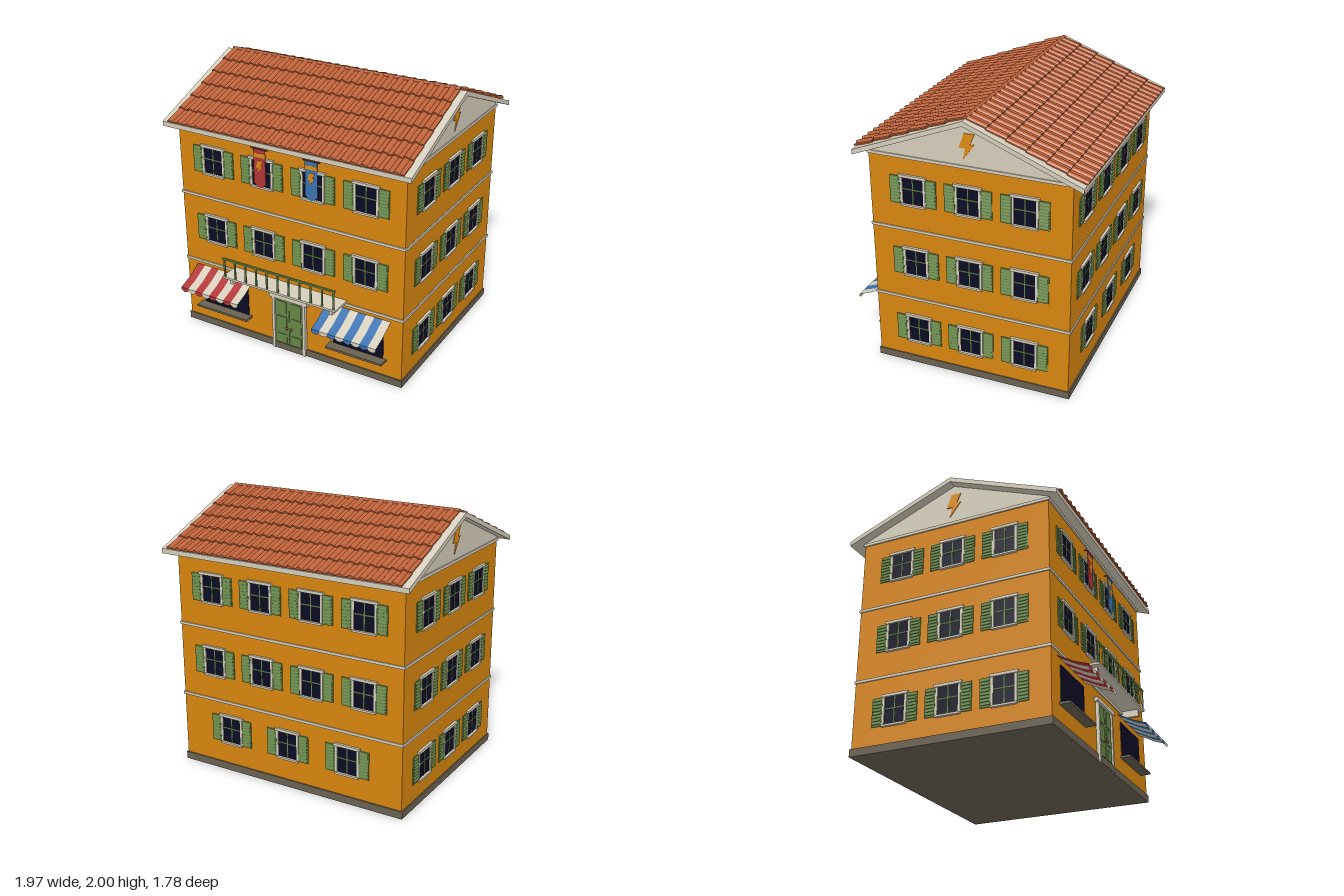
import * as THREE from 'three';

const mat = (name, color, side = THREE.FrontSide) =>
  Object.assign(new THREE.MeshStandardMaterial({ color, side }), { name });

export function createModel() {
  const M = {
    wall: mat('ochre plaster', 0xd8860f),
    cream: mat('cream trim', 0xd6cebc, THREE.DoubleSide),
    stone: mat('dark stone', 0x6a6252),
    tile: mat('terracotta', 0xbf6239),
    green: mat('green paint', 0x668647),
    glass: mat('dark glass', 0x0c0c24),
    red: mat('red cloth', 0xb03638, THREE.DoubleSide),
    blue: mat('blue cloth', 0x3a72b0, THREE.DoubleSide),
    gold: mat('golden orange', 0xdd8c14),
    wood: mat('brown wood', 0x7d3a20),
  };
  const model = new THREE.Group();
  model.name = 'townHouse';

  const add = (parent, name, geo, material, x = 0, y = 0, z = 0) => {
    const m = new THREE.Mesh(geo, material);
    m.name = name;
    m.position.set(x, y, z);
    parent.add(m);
    return m;
  };
  const box = (parent, name, material, w, h, d, x, y, z) =>
    add(parent, name, new THREE.BoxGeometry(w, h, d), material, x, y, z);
  const group = (parent, name) => {
    const g = new THREE.Group();
    g.name = name;
    parent.add(g);
    return g;
  };
  const poly = (pts) => new THREE.Shape(pts.map(([x, y]) => new THREE.Vector2(x, y)));
  const extrude = (pts, depth) => new THREE.ExtrudeGeometry(poly(pts), { depth, bevelEnabled: false });

  // The house is symmetric about z = -0.06; the awnings and balcony extend forward
  const house = group(model, 'house');
  house.position.z = -0.06;
  const HX = 0.915, HZ = 0.73;
  box(house, 'walls', M.wall, 2 * HX, 1.62, 2 * HZ, 0, 0.815, 0);
  box(house, 'plinth', M.stone, 1.846, 0.055, 1.48, 0, 0.0275, 0);
  for (const y of [0.54, 1.09]) box(house, 'floorBand', M.cream, 1.846, 0.02, 1.476, 0, y, 0);
  box(house, 'cornice', M.cream, 1.85, 0.022, 1.48, 0, 1.635, 0);

  // Gable and roof deck
  const RUN = 0.82, SLOPE = 0.396, ANGLE = Math.atan(SLOPE);
  const alongX = (name, pts, len, material) => {
    const geo = extrude(pts, len).translate(0, 0, -len / 2).rotateY(Math.PI / 2);
    return add(house, name, geo, material);
  };
  alongX('gable', [[-HZ, 1.63], [HZ, 1.63], [HZ, 1.656], [0, 1.946], [-HZ, 1.656]], 1.834, M.cream);
  const eave = 1.98 - RUN * SLOPE;
  alongX('roofDeck', [[-RUN, eave - 0.035], [0, 1.945], [RUN, eave - 0.035],
    [RUN, eave], [0, 1.98], [-RUN, eave]], 1.97, M.cream);

  // Roof tiles: one ribbed strip per course, each course lifted over the next
  const COLS = 24, ROWS = 6, W = 1.87, pitch = W / COLS;
  const ribs = [[-W / 2, -0.004]];
  for (let i = 0; i < COLS; i++) {
    const x = -W / 2 + i * pitch;
    for (const [u, h] of [[0, 0.005], [0.12, 0.015], [0.3, 0.018], [0.48, 0.015], [0.6, 0.005]])
      ribs.push([x + u * pitch, h]);
  }
  ribs.push([W / 2, 0.005], [W / 2, -0.004]);
  const step = RUN / Math.cos(ANGLE) / ROWS;
  const course = extrude(ribs.reverse(), step + 0.004);
  for (const side of [0, Math.PI]) {
    const slope = group(house, 'roofTiles');
    slope.rotation.set(ANGLE, side, 0, 'YXZ');
    slope.position.y = 1.98;
    for (let r = 0; r < ROWS; r++)
      add(slope, 'tileCourse', course, M.tile, 0, 0.001, r * step).rotation.x = -0.075;
  }
  add(house, 'ridgeTile', new THREE.CylinderGeometry(0.014, 0.014, W, 8).rotateZ(Math.PI / 2), M.tile, 0, 1.986, 0);

  // Shuttered window, origin at the bottom centre on the wall plane
  const windowUnit = new THREE.Group();
  windowUnit.name = 'window';
  box(windowUnit, 'glass', M.glass, 0.16, 0.2, 0.004, 0, 0.115, 0.002);
  box(windowUnit, 'muntin', M.green, 0.008, 0.196, 0.004, 0, 0.115, 0.005);
  box(windowUnit, 'muntin', M.green, 0.156, 0.008, 0.004, 0, 0.125, 0.005);
  box(windowUnit, 'lintel', M.cream, 0.205, 0.02, 0.018, 0, 0.221, 0.009);
  box(windowUnit, 'sill', M.cream, 0.185, 0.014, 0.02, 0, 0.007, 0.01);
  for (const s of [-1, 1]) {
    box(windowUnit, 'jamb', M.cream, 0.016, 0.2, 0.01, s * 0.085, 0.113, 0.005);
    box(windowUnit, 'shutter', M.green, 0.078, 0.205, 0.007, s * 0.134, 0.112, 0.0045);
    for (let i = 0; i < 8; i++)
      box(windowUnit, 'slat', M.green, 0.062, 0.014, 0.004, s * 0.134, 0.03 + i * 0.0235, 0.009).rotation.x = -0.4;
  }
  const facade = (name, angle, dist, spots) => {
    const g = group(house, name);
    g.rotation.y = angle;
    for (const [u, y] of spots) {
      const w = windowUnit.clone();
      w.position.set(u, y, dist);
      g.add(w);
    }
    return g;
  };
  const row = (us, y) => us.map((u) => [u, y]);
  const four = [-0.62, -0.207, 0.207, 0.62], three = [-0.405, 0, 0.405];
  const upper = [...row(four, 0.725), ...row(four, 1.275)];
  facade('frontWindows', 0, HZ, upper);
  facade('backWindows', Math.PI, HZ, [...upper, ...row([-0.49, 0, 0.49], 0.212)]);

  // Lightning emblem, centred on its own origin
  const bolt = extrude([[-0.019, 0.093], [-0.056, -0.013], [-0.01, -0.013], [-0.03, -0.093],
    [0.056, 0.02], [0.024, 0.02], [0.056, 0.093]], 0.005);
  for (const s of [-1, 1]) {
    const g = facade('sideWindows', s * Math.PI / 2, HX,
      [0.175, 0.725, 1.275].flatMap((y) => row(three, y)));
    add(g, 'gableBolt', bolt, M.gold, 0, 1.78, 0.917);
  }

  // Hanging banners
  for (const [s, cloth] of [[-1, M.red], [1, M.blue]]) {
    const b = group(model, 'banner');
    b.position.set(s * 0.209, 0, 0.691);
    add(b, 'cloth', extrude([[-0.049, 1.575], [-0.049, 1.32], [-0.025, 1.295], [0, 1.284],
      [0.025, 1.295], [0.049, 1.32], [0.049, 1.575]], 0.004), cloth);
    box(b, 'stripe', M.gold, 0.099, 0.03, 0.006, 0, 1.53, 0.002);
    add(b, 'bolt', bolt, M.gold, 0, 1.445, 0.002).scale.set(0.5, 0.5, 1);
    add(b, 'pole', new THREE.CylinderGeometry(0.005, 0.005, 0.135, 8).rotateZ(Math.PI / 2), M.wood, 0, 1.578, 0.002);
    for (const x of [-0.055, 0.055]) box(b, 'poleBracket', M.wood, 0.006, 0.006, 0.022, x, 1.578, -0.01);
  }

  // Shop windows with striped, scalloped awnings
  const profile = [[0.67, 0.505], [0.79, 0.44], [0.885, 0.405]];
  const sw = 0.51 / 8;
  const strip = new THREE.PlaneGeometry(sw, 1, 1, 2);
  const pos = strip.attributes.position;
  for (let i = 0; i < pos.count; i++) {
    const [z, y] = profile[Math.floor(i / 2)];
    pos.setY(i, y);
    pos.setZ(i, z);
  }
  strip.computeVertexNormals();
  const flap = new THREE.Shape();
  flap.moveTo(-sw / 2, 0);
  flap.lineTo(-sw / 2, -0.018);
  flap.quadraticCurveTo(0, -0.05, sw / 2, -0.018);
  flap.lineTo(sw / 2, 0);
  const flapGeo = new THREE.ShapeGeometry(flap, 6);
  for (const [s, cloth] of [[-1, M.red], [1, M.blue]]) {
    const shop = group(model, 'shopFront');
    shop.position.x = s * 0.567;
    box(shop, 'shopGlass', M.glass, 0.405, 0.27, 0.006, 0, 0.325, 0.672);
    box(shop, 'shopSill', M.stone, 0.455, 0.016, 0.08, 0, 0.183, 0.706);
    for (let i = 0; i < 8; i++) {
      const x = (i - 3.5) * sw, m = i % 2 ? M.cream : cloth;
      add(shop, 'awningStripe', strip, m, x);
      add(shop, 'awningFlap', flapGeo, m, x, 0.405, 0.885);
    }
  }

  // Double door with stone threshold
  const door = group(model, 'door');
  door.position.z = 0.67;
  box(door, 'threshold', M.stone, 0.25, 0.052, 0.02, 0, 0.026, 0.01);
  box(door, 'doorLintel', M.cream, 0.325, 0.03, 0.03, 0, 0.446, 0.015);
  for (const s of [-1, 1]) {
    box(door, 'doorJamb', M.cream, 0.022, 0.432, 0.025, s * 0.13, 0.216, 0.0125);
    box(door, 'leaf', M.green, 0.117, 0.38, 0.01, s * 0.0597, 0.242, 0.008);
    for (const [y, h] of [[0.355, 0.11], [0.225, 0.115], [0.095, 0.075]])
      box(door, 'doorPanel', M.green, 0.08, h, 0.007, s * 0.062, y, 0.015);
    add(door, 'knob', new THREE.SphereGeometry(0.011, 12, 8), M.wood, s * 0.019, 0.19, 0.02);
  }

  // Balcony
  const balcony = group(model, 'balcony');
  box(balcony, 'balconySlab', M.cream, 0.95, 0.016, 0.16, 0, 0.563, 0.75);
  box(balcony, 'handrail', M.green, 0.94, 0.013, 0.014, 0, 0.717, 0.823);
  for (let i = -5; i <= 5; i++)
    box(balcony, 'baluster', M.green, 0.012, 0.145, 0.01, i * 0.0912, 0.641, 0.823);
  for (const s of [-1, 1])
    box(balcony, 'bracket', M.cream, 0.024, 0.052, 0.13, s * 0.42, 0.53, 0.735);

  return model;
}
